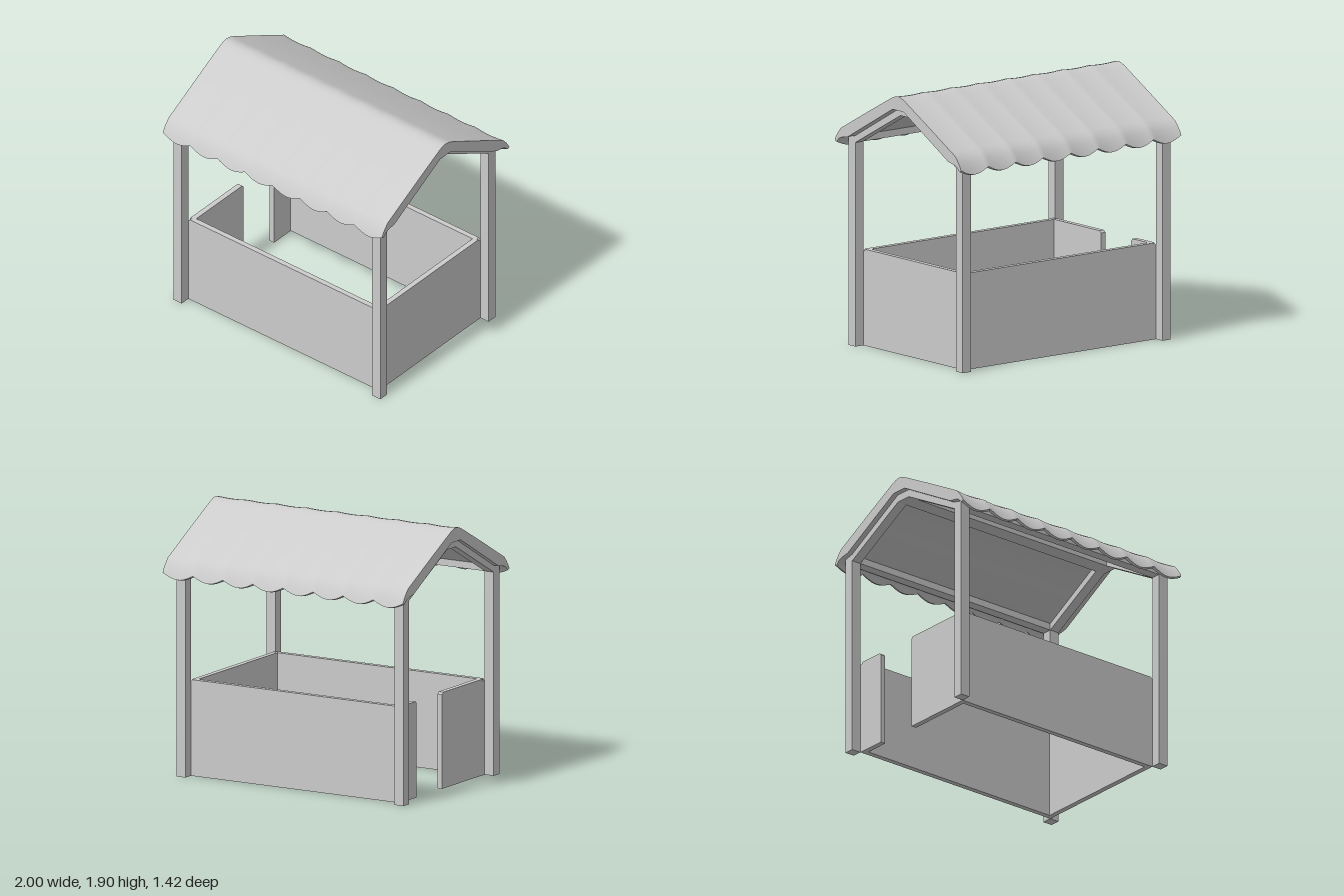
import * as THREE from 'three';
import { toCreasedNormals } from 'three/addons/utils/BufferGeometryUtils.js';

const material = new THREE.MeshStandardMaterial({ color: 0xcccccc });
const X0 = -0.96, X1 = 0.93, POST = 0.075, Z1 = 0.64;
const XI0 = X0 + POST, XI1 = X1 - POST, ZI = Z1 - POST;

// Box given by its minimum and maximum corners
function block(name, x0, x1, y0, y1, z0, z1) {
  const geo = new THREE.BoxGeometry(x1 - x0, y1 - y0, z1 - z0);
  geo.translate((x0 + x1) / 2, (y0 + y1) / 2, (z0 + z1) / 2);
  const mesh = new THREE.Mesh(geo, material);
  mesh.name = name;
  return mesh;
}

// Upright board with clipped top corners, centred on its length, extruded along z
function board(name, length, thickness) {
  const h = 0.695, c = 0.015, l = length / 2;
  const shape = new THREE.Shape([
    [-l, 0], [l, 0], [l, h - c], [l - c, h], [-l + c, h], [-l, h - c],
  ].map(([x, y]) => new THREE.Vector2(x, y)));
  const geo = new THREE.ExtrudeGeometry(shape, { depth: thickness, bevelEnabled: false });
  geo.translate(0, 0, -thickness / 2);
  const mesh = new THREE.Mesh(geo, material);
  mesh.name = name;
  return mesh;
}

function sideBoard(name, x, z0, z1) {
  const mesh = board(name, z1 - z0, 0.04);
  mesh.rotation.y = Math.PI / 2;
  mesh.position.set(x, 0, (z0 + z1) / 2);
  return mesh;
}

// Half cross-section from ridge to eave: z, upper y, underside z, underside y, scallop share
const HALF = [
  [0, 1.895, 0, 1.80, 0],
  [0.035, 1.889, 0.03, 1.80, 0],
  [0.075, 1.872, 0.06, 1.80, 0],
  [0.34, 1.731, 0.32, 1.656, 0],
  [0.59, 1.595, 0.565, 1.52, 0],
  [0.64, 1.568, 0.63, 1.508, 0.15],
  [0.67, 1.535, 0.66, 1.497, 0.4],
  [0.695, 1.50, 0.677, 1.48, 0.7],
  [0.71, 1.472, 0.692, 1.467, 1],
];

// Canopy lofted along x, with ripples that end in a scalloped hem
function roofGeometry() {
  const profile = [
    ...HALF.slice(1).reverse().map(([z, y, uz, uy, s]) => [-z, y, -uz, uy, s]),
    ...HALF,
  ];
  const n = profile.length, steps = 96, pos = [], index = [];
  for (let i = 0; i <= steps; i++) {
    const x = -1 + (2 * i) / steps;
    const lobe = Math.abs(Math.sin((Math.PI * x) / 0.25));
    for (const [z, y, , , s] of profile) pos.push(x, y + 0.006 * (1 - lobe) - 0.036 * lobe * s, z);
    for (const [, , z, y, s] of [...profile].reverse()) pos.push(x, y - 0.036 * lobe * s, z);
  }
  const ring = 2 * n;
  const quad = (a, b, c, d) => index.push(a, b, c, a, c, d);
  for (let i = 0; i < steps; i++) {
    for (let j = 0; j < ring; j++) {
      const k = (j + 1) % ring, a = i * ring, b = a + ring;
      quad(a + j, a + k, b + k, b + j);
    }
  }
  // Gable ends
  const e = steps * ring;
  for (let j = 0; j < n - 1; j++) {
    const u = ring - 1 - j;
    quad(j, u, u - 1, j + 1);
    quad(e + j, e + j + 1, e + u - 1, e + u);
  }
  const geo = new THREE.BufferGeometry();
  geo.setAttribute('position', new THREE.Float32BufferAttribute(pos, 3));
  geo.setIndex(index);
  return toCreasedNormals(geo, 0.7);
}

// Sloping rafter from post to ridge beam
function rafter(x, side) {
  const points = [[0.05, 1.75], [ZI, 1.47], [Z1, 1.47], [Z1, 1.515], [ZI, 1.53], [0.05, 1.815]];
  const shape = new THREE.Shape(points.map(([z, y]) => new THREE.Vector2(z * side, y)));
  const geo = new THREE.ExtrudeGeometry(shape, { depth: POST, bevelEnabled: false });
  geo.rotateY(-Math.PI / 2);
  geo.translate(x + POST, 0, 0);
  const mesh = new THREE.Mesh(geo, material);
  mesh.name = 'rafter';
  return mesh;
}

export function createModel() {
  const group = new THREE.Group();
  group.name = 'marketStall';

  // Corner posts, rafters and eave beams
  for (const side of [-1, 1]) {
    const z0 = side > 0 ? ZI : -Z1;
    for (const x of [X0, XI1]) {
      group.add(block('post', x, x + POST, 0, 1.525, z0, z0 + POST));
      group.add(rafter(x, side));
    }
    group.add(block('eaveBeam', XI0, XI1, 1.47, 1.525, z0, z0 + POST));

    // Long walls, front and back
    const wall = board(side > 0 ? 'frontWall' : 'backWall', XI1 - XI0, 0.04);
    wall.position.set((XI0 + XI1) / 2, 0, side * (ZI - 0.02));
    group.add(wall);
  }
  group.add(block('ridgeBeam', X0, X1, 1.745, 1.82, -0.06, 0.06));

  // Closed wall on the left, wall with a doorway on the right
  group.add(sideBoard('leftWall', XI1 - 0.019, -0.555, 0.555));
  group.add(sideBoard('rightWallBack', XI0 + 0.021, -0.555, -0.34));
  group.add(sideBoard('rightWallFront', XI0 + 0.021, 0, 0.555));

  const roof = new THREE.Mesh(roofGeometry(), material);
  roof.name = 'roof';
  group.add(roof);
  return group;
}
